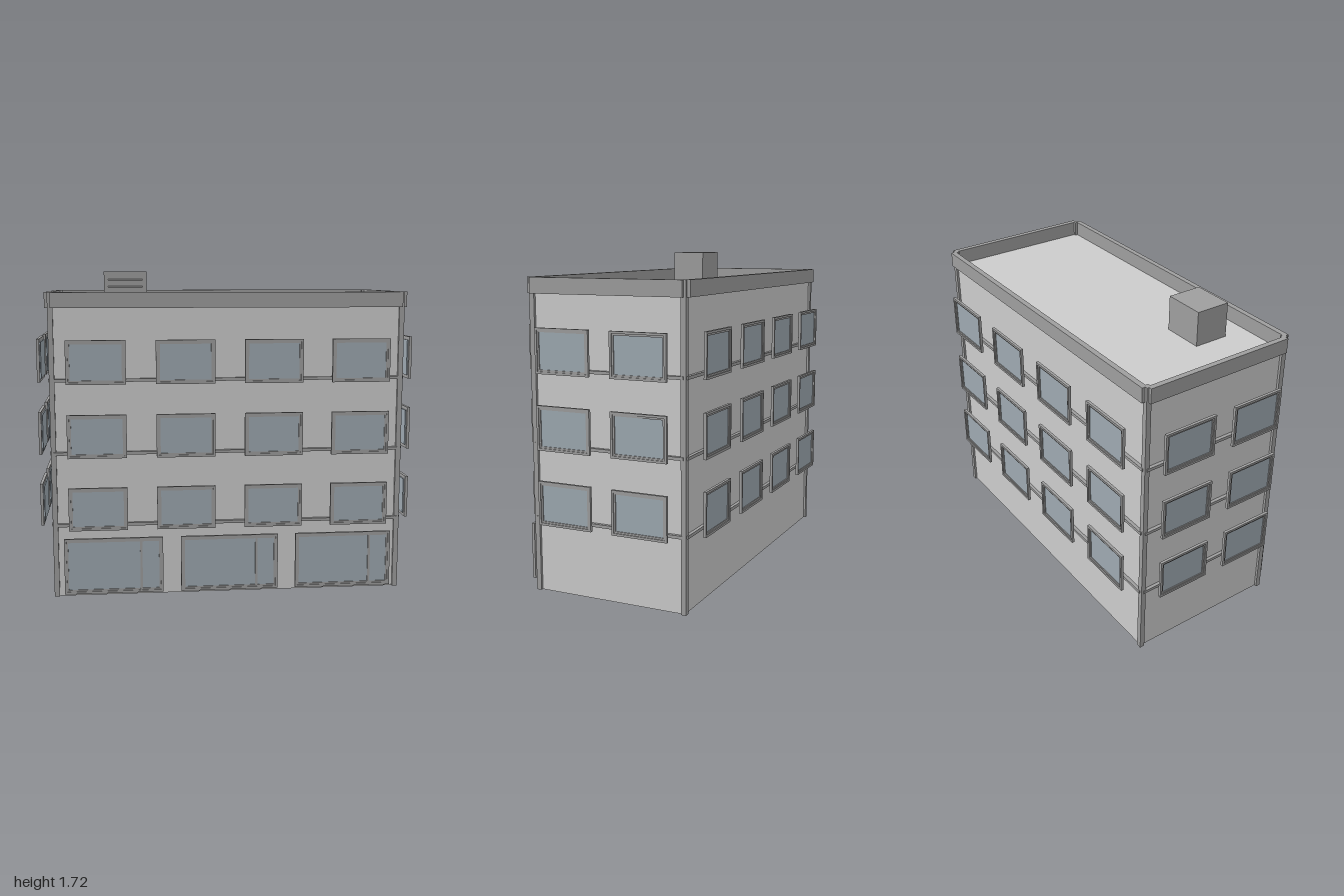
import * as THREE from 'three';

const wallMat = new THREE.MeshStandardMaterial({ color: 0xcccccc });
const trimMat = new THREE.MeshStandardMaterial({ color: 0x9e9e9e });
const glassMat = new THREE.MeshStandardMaterial({ color: 0x9ea9b1 });

// Half extents of the wall block and the roof level
const HX = 0.92, HZ = 0.415, ROOF = 1.53, TOP = 1.61;

function box(parent, name, mat, size, pos) {
  const mesh = new THREE.Mesh(new THREE.BoxGeometry(...size), mat);
  mesh.position.set(...pos);
  mesh.name = name;
  parent.add(mesh);
  return mesh;
}

// Rectangular ring in the xy plane, from z0 to z1
function ring(parent, name, w, h, border, z0, z1) {
  const rect = (Path, a, b) => new Path([
    new THREE.Vector2(-a / 2, -b / 2), new THREE.Vector2(a / 2, -b / 2),
    new THREE.Vector2(a / 2, b / 2), new THREE.Vector2(-a / 2, b / 2)]);
  const shape = rect(THREE.Shape, w, h);
  shape.holes.push(rect(THREE.Path, w - 2 * border, h - 2 * border));
  const geo = new THREE.ExtrudeGeometry(shape, { depth: z1 - z0, bevelEnabled: false });
  const mesh = new THREE.Mesh(geo, trimMat);
  mesh.position.z = z0;
  mesh.name = name;
  parent.add(mesh);
}

// Framed window facing +z, with its back at z = 0
function makeWindow(name, w, h, mullionX) {
  const g = new THREE.Group();
  g.name = name;
  ring(g, 'outerFrame', w, h, 0.012, 0.006, 0.021);
  ring(g, 'innerFrame', w - 0.024, h - 0.024, 0.009, 0.006, 0.016);
  box(g, 'glass', glassMat, [w - 0.036, h - 0.036, 0.011], [0, 0, 0.0055]);
  if (mullionX !== undefined) {
    box(g, 'mullion', trimMat, [0.012, h - 0.024, 0.015], [mullionX, 0, 0.0105]);
  }
  return g;
}

// Four strips around the building; the corner posts close the gaps
function band(parent, name, y, height, depth) {
  for (const s of [-1, 1]) {
    box(parent, name, trimMat, [2 * HX, height, depth], [0, y, s * (HZ + depth / 2)]);
    box(parent, name, trimMat, [depth, height, 2 * HZ], [s * (HX + depth / 2), y, 0]);
  }
}

export function createModel() {
  const model = new THREE.Group();
  model.name = 'building';

  // Wall block with flat roof
  box(model, 'walls', wallMat, [2 * HX, ROOF, 2 * HZ], [0, ROOF / 2, 0]);

  // Corner posts
  for (const sx of [-1, 1]) for (const sz of [-1, 1]) {
    box(model, 'cornerPost', trimMat, [0.027, TOP, 0.027], [sx * HX, TOP / 2, sz * 0.4135]);
  }

  // Parapet
  band(model, 'parapet', (ROOF + TOP) / 2, TOP - ROOF, 0.029);

  // Upper floors: belt course and windows on all four sides
  for (let floor = 0; floor < 3; floor++) {
    band(model, 'beltCourse', 0.389 + floor * 0.384, 0.016, 0.018);
    const y = 0.487 + floor * 0.384;
    for (const s of [-1, 1]) {
      for (const x of [-0.692, -0.231, 0.231, 0.692]) {
        const win = makeWindow(s > 0 ? 'frontWindow' : 'backWindow', 0.307, 0.227);
        win.position.set(x, y, s * 0.472);
        win.rotation.y = s > 0 ? 0 : Math.PI;
        model.add(win);
      }
      for (const z of [-0.208, 0.208]) {
        const win = makeWindow(s > 0 ? 'leftWindow' : 'rightWindow', 0.3, 0.227);
        win.position.set(s * 0.979, y, z);
        win.rotation.y = s * Math.PI / 2;
        model.add(win);
      }
    }
  }

  // Ground floor shop windows
  for (const x of [-0.615, -0.002, 0.611]) {
    const shop = makeWindow('shopWindow', 0.518, 0.298, 0.144);
    shop.position.set(x, 0.181, 0.472);
    model.add(shop);
  }

  // Rooftop unit with louvres on its front
  const unit = new THREE.Group();
  unit.name = 'rooftopUnit';
  unit.position.set(-0.534, ROOF, 0.19);
  box(unit, 'unitBody', trimMat, [0.224, 0.186, 0.188], [0, 0.093, 0]);
  for (let i = 0; i < 4; i++) {
    const slat = box(unit, 'louvre', trimMat, [0.18, 0.007, 0.014], [0, 0.036 + i * 0.035, 0.094]);
    slat.rotation.x = 0.5;
  }
  model.add(unit);

  return model;
}
